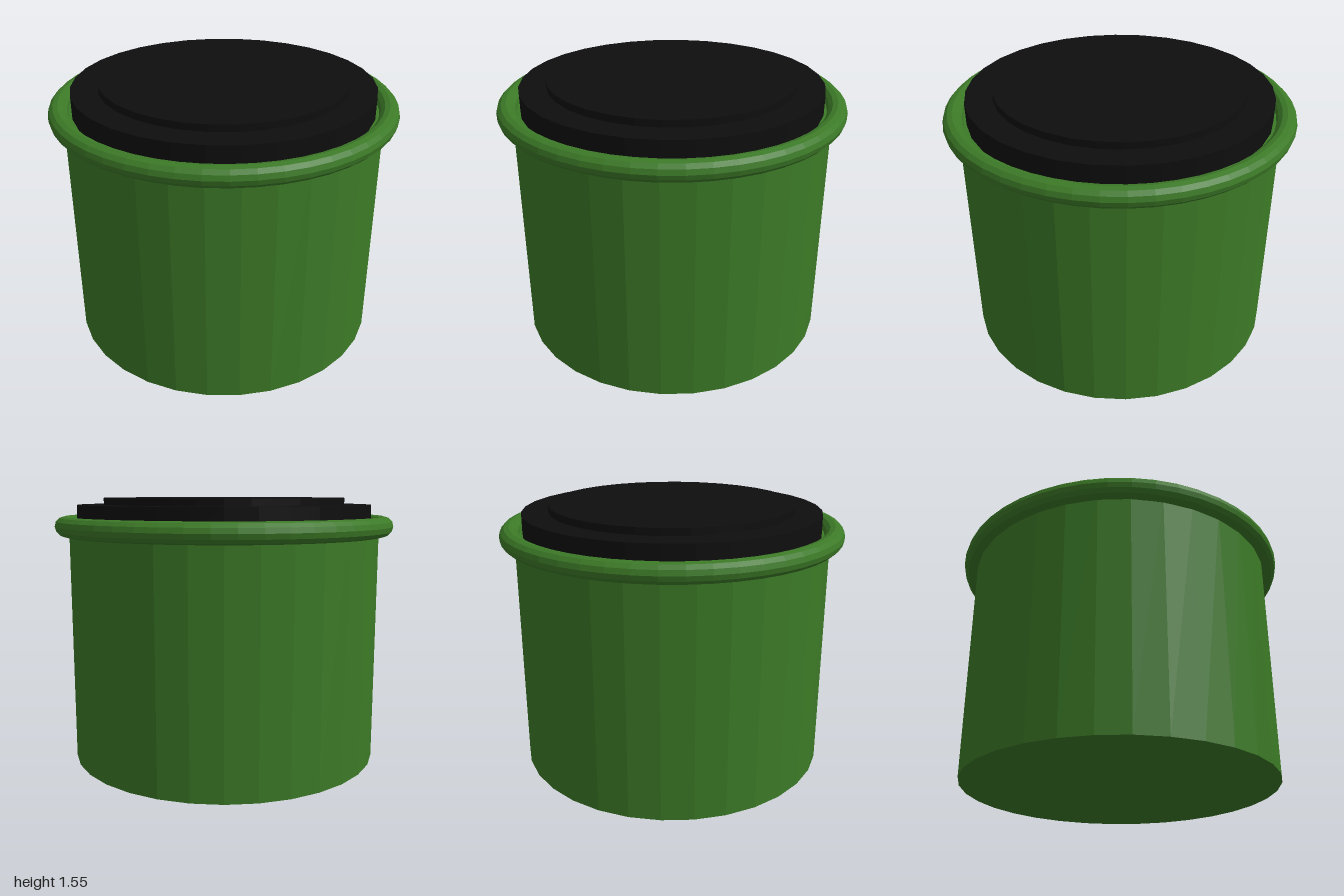
import * as THREE from 'three';

export function createModel() {
  const group = new THREE.Group();
  const green = new THREE.MeshStandardMaterial({ color: 0x3c7a27, flatShading: true });
  green.name = 'green';
  const black = new THREE.MeshStandardMaterial({ color: 0x0e0e0e, flatShading: true });
  black.name = 'black';

  const add = (name, geometry, material, y) => {
    const mesh = new THREE.Mesh(geometry, material);
    mesh.name = name;
    mesh.position.y = y;
    group.add(mesh);
  };
  // Upright disc spanning two heights
  const disc = (name, radius, bottom, top, material) =>
    add(name, new THREE.CylinderGeometry(radius, radius, top - bottom, 32), material, (top + bottom) / 2);

  // Container body
  disc('body', 0.918, 0, 1.39, green);

  // Rounded rim around the mouth
  add('rim', new THREE.TorusGeometry(0.943, 0.057, 12, 48).rotateX(Math.PI / 2), green, 1.392);

  // Stepped lid
  disc('lid', 0.87, 1.38, 1.515, black);
  disc('lidTop', 0.715, 1.5, 1.555, black);

  return group;
}
